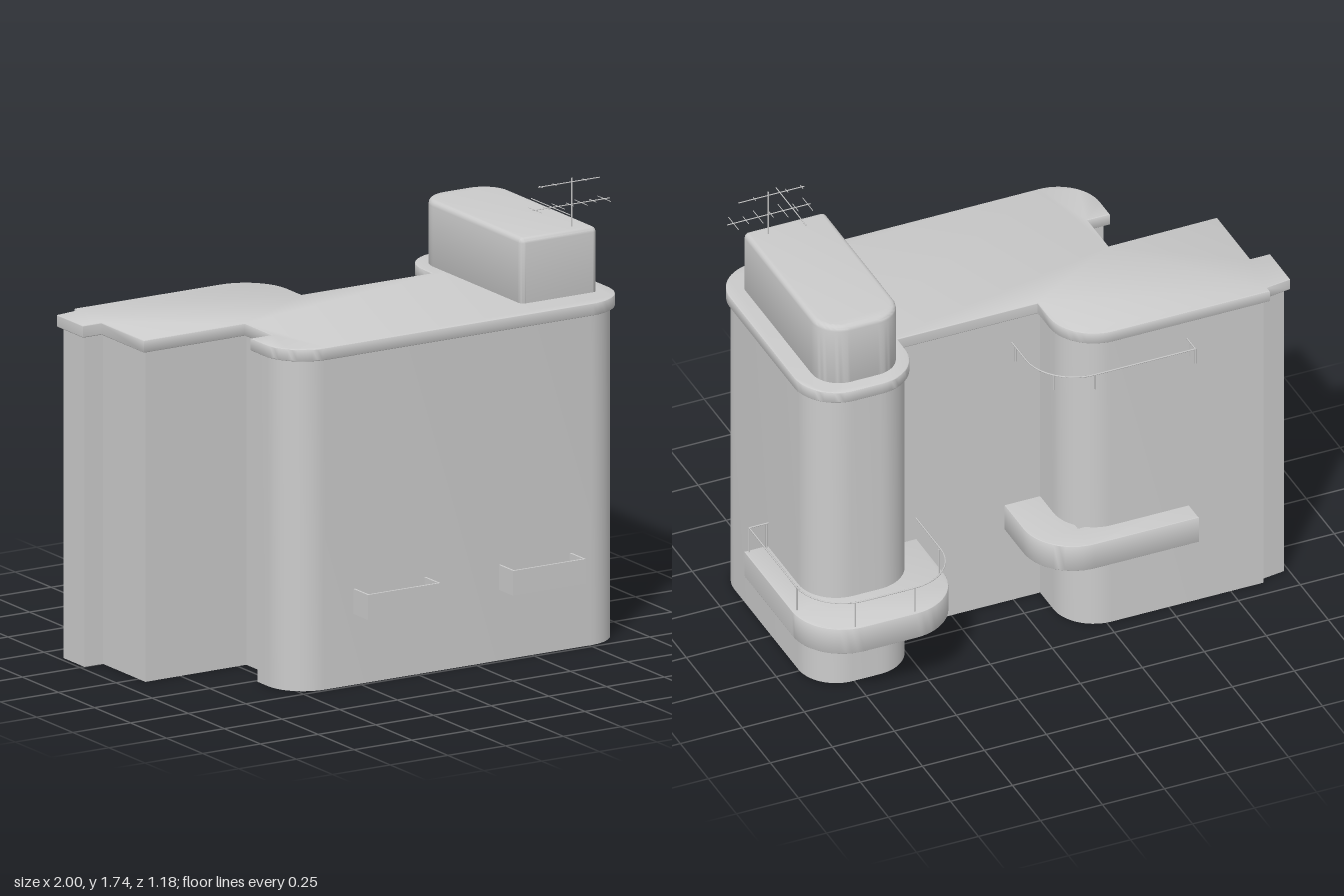
import * as THREE from 'three';
import { toCreasedNormals } from 'three/addons/utils/BufferGeometryUtils.js';

const grey = new THREE.MeshStandardMaterial({ color: 0xcccccc });
const K = 0.5523; // cubic factor for a quarter circle

// Path through [x, z, radius] plan corners; the ends of an open path stay sharp
function planPath(pts, closed = true) {
  const s = new THREE.Shape();
  const n = pts.length;
  pts.forEach(([x, z, r = 0], i) => {
    const p = new THREE.Vector2(x, -z);
    const a = new THREE.Vector2(pts[(i + n - 1) % n][0], -pts[(i + n - 1) % n][1]);
    const b = new THREE.Vector2(pts[(i + 1) % n][0], -pts[(i + 1) % n][1]);
    const towards = (q, d) => p.clone().add(q.clone().sub(p).setLength(d));
    const start = r ? towards(a, r) : p;
    if (i === 0) s.moveTo(start.x, start.y);
    else s.lineTo(start.x, start.y);
    if (r) {
      const c1 = towards(a, r * (1 - K)), c2 = towards(b, r * (1 - K)), e = towards(b, r);
      s.bezierCurveTo(c1.x, c1.y, c2.x, c2.y, e.x, e.y);
    }
  });
  if (closed) s.closePath();
  return s;
}

// Move every side of a plan inwards by d (corners run clockwise seen from above)
function inset(pts, d) {
  const n = pts.length;
  return pts.map(([x, z, r = 0], i) => {
    const [ax, az] = pts[(i + n - 1) % n], [bx, bz] = pts[(i + 1) % n];
    const u = new THREE.Vector2(x - ax, z - az).normalize();
    const v = new THREE.Vector2(bx - x, bz - z).normalize();
    const k = d / (1 + u.dot(v));
    return [x + (-u.y - v.y) * k, z + (u.x + v.x) * k, r && r - d];
  });
}

// Upright prism over a plan, with an optional rounded edge of size b
function prism(name, pts, y0, y1, b = 0) {
  const g = new THREE.ExtrudeGeometry(planPath(b ? inset(pts, b) : pts), {
    depth: y1 - y0 - 2 * b, curveSegments: 14,
    bevelEnabled: b > 0, bevelSize: b, bevelThickness: b, bevelSegments: 4,
  });
  g.rotateX(-Math.PI / 2).translate(0, y0 + b, 0);
  const m = new THREE.Mesh(toCreasedNormals(g, 0.6), grey);
  m.name = name;
  return m;
}

function box(name, w, h, d, x, y, z) {
  const m = new THREE.Mesh(new THREE.BoxGeometry(w, h, d), grey);
  m.position.set(x, y, z);
  m.name = name;
  return m;
}

// Thin round bar between two points
function rod(name, a, b, r = 0.003) {
  const p = new THREE.Vector3(...a), q = new THREE.Vector3(...b);
  const m = new THREE.Mesh(new THREE.CylinderGeometry(r, r, p.distanceTo(q), 6), grey);
  m.position.copy(p).lerp(q, 0.5);
  m.quaternion.setFromUnitVectors(new THREE.Vector3(0, 1, 0), q.sub(p).normalize());
  m.name = name;
  return m;
}

// Handrail along an open plan path with posts below it
function railing(name, pts, posts, y0, y1) {
  const g = new THREE.Group();
  g.name = name;
  const line = planPath(pts, false).getPoints(10);
  for (let i = 1; i < line.length; i++) {
    const a = line[i - 1], b = line[i];
    if (a.distanceTo(b) > 1e-5) g.add(rod('handrail', [a.x, y1, -a.y], [b.x, y1, -b.y]));
  }
  for (const [x, z] of posts) g.add(rod('railPost', [x, y0, z], [x, y1, z]));
  return g;
}

// Shallow open planter box on the front wall
function frontBalcony(x) {
  const g = new THREE.Group();
  g.name = 'frontBalcony';
  const w = 0.315, y = 0.318, h = 0.095, t = 0.008;
  g.add(box('balconyFloor', w, t, 0.1, x, y - h / 2 + t / 2, 0.536));
  g.add(box('balconyFront', w, h, t, x, y, 0.582));
  for (const s of [-1, 1]) g.add(box('balconySide', t, h, 0.1, x + s * (w - t) / 2, y, 0.536));
  return g;
}

function antenna() {
  const g = new THREE.Group();
  g.name = 'antenna';
  const z = 0.32, r = 0.002;
  g.add(rod('mast', [0.775, 1.55, z], [0.775, 1.74, z], 0.003));
  g.add(rod('lowerBoom', [0.605, 1.64, z], [0.94, 1.64, z], r));
  g.add(rod('upperBoom', [0.63, 1.725, z], [0.895, 1.725, z], r));
  // Crossbars: one long reflector, then short directors
  g.add(rod('reflector', [0.68, 1.645, 0.19], [0.68, 1.645, 0.46], r));
  for (let i = 0; i < 7; i++) {
    const x = 0.615 + i * 0.05, half = i % 2 ? 0.025 : 0.045;
    g.add(rod('lowerDirector', [x, 1.64, z - half], [x, 1.64, z + half], 0.0015));
  }
  for (const x of [0.64, 0.7, 0.83]) {
    g.add(rod('upperDirector', [x, 1.725, z - 0.012], [x, 1.725, z + 0.012], 0.0015));
  }
  return g;
}

export function createModel() {
  const model = new THREE.Group();
  model.name = 'building';

  // Plan of the roof slab; the walls stand slightly inside it
  const roofPlan = [
    [-1, -0.41], [-0.9, -0.425], [-0.9, -0.45],
    [-0.09, -0.45, 0.18], [-0.09, -0.17],
    [0.475, -0.17], [0.475, -0.41, 0.17], [0.925, -0.41, 0.17],
    [0.925, 0.5, 0.17], [-0.57, 0.505, 0.17], [-0.57, 0.245],
    [-0.48, 0.245], [-0.48, 0.06], [-0.92, 0.065], [-0.92, -0.23], [-1, -0.23],
  ];
  model.add(prism('walls', inset(roofPlan, 0.018), 0, 1.262));
  model.add(prism('roofSlab', roofPlan, 1.26, 1.307, 0.004));

  // Roof house, rounded at the back
  model.add(prism('roofHouse', [
    [0.525, -0.352, 0.11], [0.855, -0.352, 0.11], [0.855, 0.37, 0.021], [0.525, 0.37, 0.021],
  ], 1.28, 1.555, 0.02));
  model.add(antenna());

  // Balcony wrapped round the stair tower
  model.add(prism('towerBalcony', [
    [0.39, -0.15], [0.39, -0.592, 0.2], [1, -0.592, 0.2], [1, 0.035], [0.85, 0.035], [0.85, -0.15],
  ], 0.27, 0.38, 0.003));
  model.add(railing('towerRailing',
    [[0.4, -0.17], [0.4, -0.58, 0.19], [0.985, -0.58, 0.19], [0.985, 0.025], [0.9, 0.025]],
    [[0.407, -0.39], [0.59, -0.577], [0.83, -0.577], [0.98, -0.39], [0.985, 0.025], [0.915, 0.025]],
    0.375, 0.487));

  // Balcony on the rear wing, and the rail high above it
  model.add(prism('wingBalcony', [
    [-0.583, -0.4], [-0.583, -0.518], [0.035, -0.518, 0.2], [0.035, -0.15], [-0.15, -0.15], [-0.15, -0.4],
  ], 0.32, 0.43, 0.003));
  model.add(railing('wingRailing',
    [[-0.575, -0.42], [-0.575, -0.505], [0.022, -0.505, 0.19], [0.022, -0.19]],
    [[-0.575, -0.455], [-0.575, -0.505], [-0.17, -0.505], [-0.03, -0.445], [0.022, -0.22]],
    1.11, 1.175));

  for (const x of [-0.118, 0.512]) model.add(frontBalcony(x));
  return model;
}
